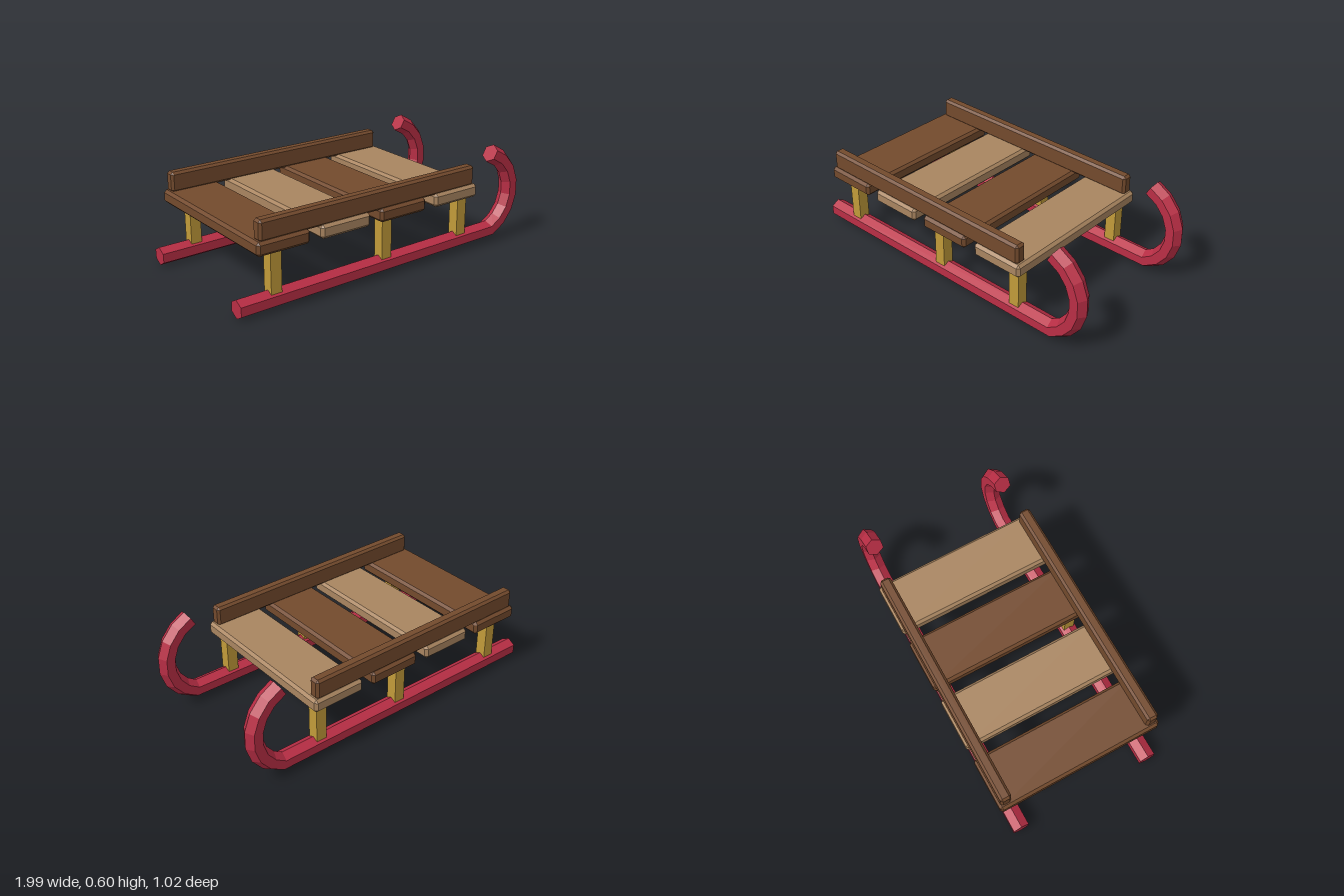
import * as THREE from 'three';
import { ConvexGeometry } from 'three/addons/geometries/ConvexGeometry.js';

const mat = (name, color) => {
  const m = new THREE.MeshStandardMaterial({ color, flatShading: true });
  m.name = name;
  return m;
};

// Box with every edge cut by a single chamfer c
function chamferBox(w, h, d, c) {
  const pts = [];
  const [a, b, e] = [w / 2, h / 2, d / 2];
  for (const x of [-1, 1]) for (const y of [-1, 1]) for (const z of [-1, 1]) {
    pts.push(
      new THREE.Vector3(x * a, y * (b - c), z * (e - c)),
      new THREE.Vector3(x * (a - c), y * b, z * (e - c)),
      new THREE.Vector3(x * (a - c), y * (b - c), z * e));
  }
  return new ConvexGeometry(pts);
}

// Hexagonal bar swept along a straight run and an upward curl
function runnerGeometry() {
  const SIDES = 6, R = 0.055;
  const path = [new THREE.Vector2(-1, 0.058)];
  for (let i = 0; i <= 7; i++) {
    const t = THREE.MathUtils.degToRad(-67.8 + i * 137.6 / 7);
    path.push(new THREE.Vector2(0.6815 + 0.2585 * Math.cos(t), 0.316 + 0.2585 * Math.sin(t)));
  }
  const pos = [], idx = [];
  const last = path.length - 1;
  path.forEach((p, i) => {
    const into = p.clone().sub(path[Math.max(i - 1, 0)]).normalize();
    const out = path[Math.min(i + 1, last)].clone().sub(p).normalize();
    const t = into.add(out).normalize();
    for (let k = 0; k < SIDES; k++) {
      const a = k * 2 * Math.PI / SIDES;
      const n = R * Math.cos(a);
      pos.push(p.x - t.y * n, p.y + t.x * n, R * Math.sin(a));
    }
  });
  for (let i = 0; i < last; i++) for (let k = 0; k < SIDES; k++) {
    const a = i * SIDES + k, b = i * SIDES + (k + 1) % SIDES;
    idx.push(a, b, a + SIDES, b, b + SIDES, a + SIDES);
  }
  // End caps
  const e = last * SIDES;
  for (let k = 1; k < SIDES - 1; k++) {
    idx.push(0, k + 1, k, e, e + k, e + k + 1);
  }
  const g = new THREE.BufferGeometry();
  g.setAttribute('position', new THREE.Float32BufferAttribute(pos, 3));
  g.setIndex(idx);
  const flat = g.toNonIndexed();
  flat.computeVertexNormals();
  return flat;
}

export function createModel() {
  const red = mat('runner red', 0xb92e45);
  const brown = mat('dark wood', 0x734a2d);
  const tan = mat('light wood', 0xa98560);
  const gold = mat('post gold', 0xc29b3a);

  const sled = new THREE.Group();
  sled.name = 'sled';
  const add = (name, geo, material, x, y, z) => {
    const m = new THREE.Mesh(geo, material);
    m.name = name;
    m.position.set(x, y, z);
    sled.add(m);
  };

  // Seat planks in alternating wood
  const plank = chamferBox(0.325, 0.08, 1.016, 0.016);
  [-0.75, -0.355, 0.04, 0.435].forEach((x, i) =>
    add('seatPlank' + (i + 1), plank, i % 2 ? tan : brown, x, 0.385, 0));

  const runner = runnerGeometry();
  const post = new THREE.BoxGeometry(0.067, 0.29, 0.067);
  const rail = chamferBox(1.468, 0.12, 0.068, 0.014);
  for (const s of [1, -1]) {
    const side = s > 0 ? 'Front' : 'Back';
    add('runner' + side, runner, red, 0, 0, s * 0.425);
    add('sideRail' + side, rail, brown, -0.157, 0.477, s * 0.462);
    [-0.775, -0.043, 0.523].forEach((x, i) =>
      add('post' + side + (i + 1), post, gold, x, 0.225, s * 0.425));
  }
  return sled;
}
